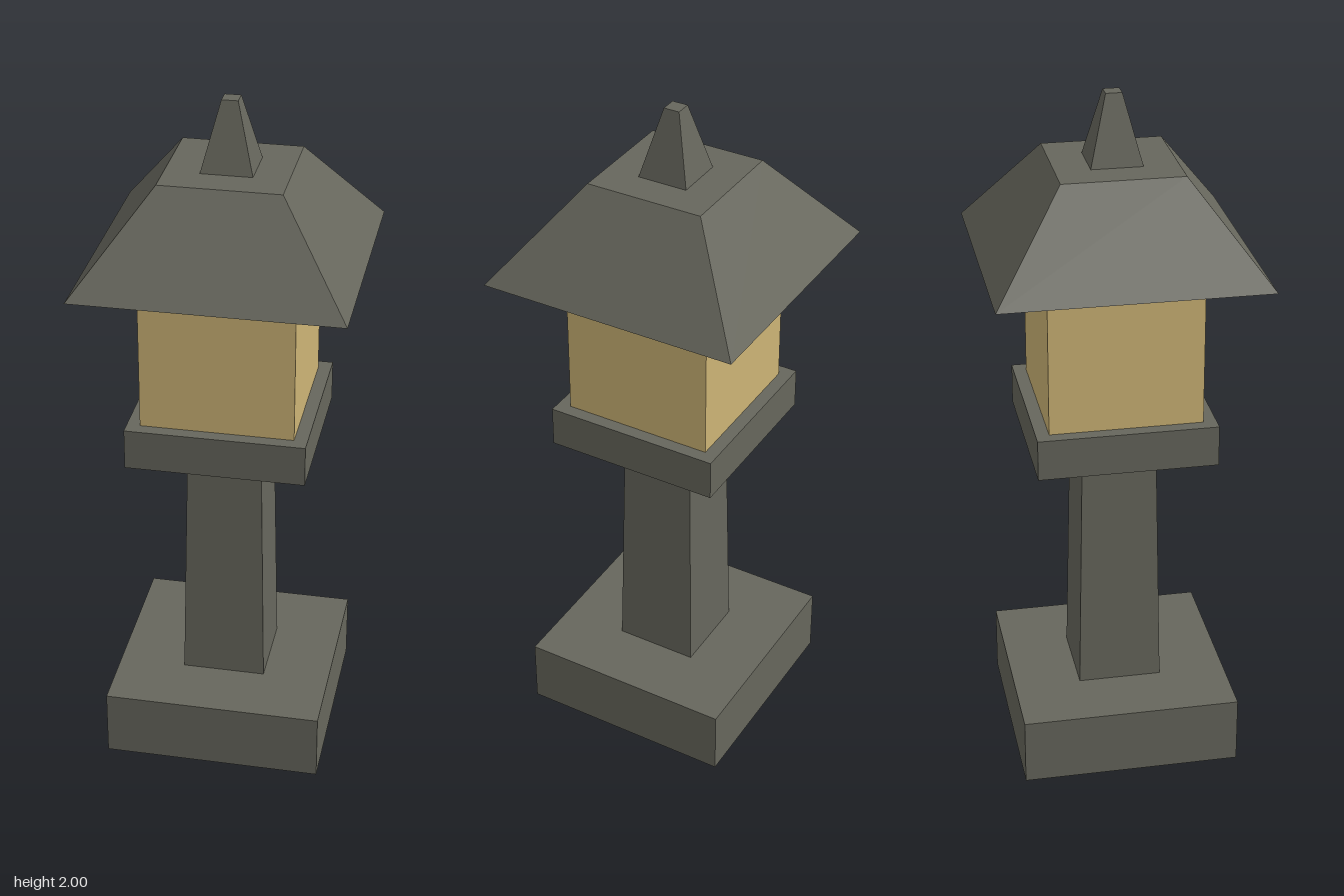
import * as THREE from 'three';

export function createModel() {
  const model = new THREE.Group();
  model.name = 'stoneLantern';

  const stone = new THREE.MeshStandardMaterial({ color: 0x66665c });
  stone.name = 'stone';
  const glow = new THREE.MeshStandardMaterial({ color: 0xcdb476 });
  glow.name = 'warmGlow';

  // Square block from y0 to y1, tapering between two half-widths
  function block(name, y0, y1, halfBottom, halfTop, material) {
    const geometry = new THREE.CylinderGeometry(
      halfTop * Math.SQRT2, halfBottom * Math.SQRT2, y1 - y0, 4, 1
    ).rotateY(Math.PI / 4).toNonIndexed();
    geometry.computeVertexNormals(); // crisp facets
    const mesh = new THREE.Mesh(geometry, material);
    mesh.name = name;
    mesh.position.y = (y0 + y1) / 2;
    model.add(mesh);
  }

  block('base', 0, 0.2, 0.32, 0.32, stone);
  block('post', 0.2, 0.97, 0.123, 0.108, stone);
  block('platform', 0.97, 1.09, 0.258, 0.258, stone);
  block('lightBox', 1.09, 1.535, 0.22, 0.22, glow);
  block('roof', 1.535, 1.805, 0.38, 0.172, stone);
  block('finial', 1.805, 2, 0.073, 0.023, stone);

  return model;
}
